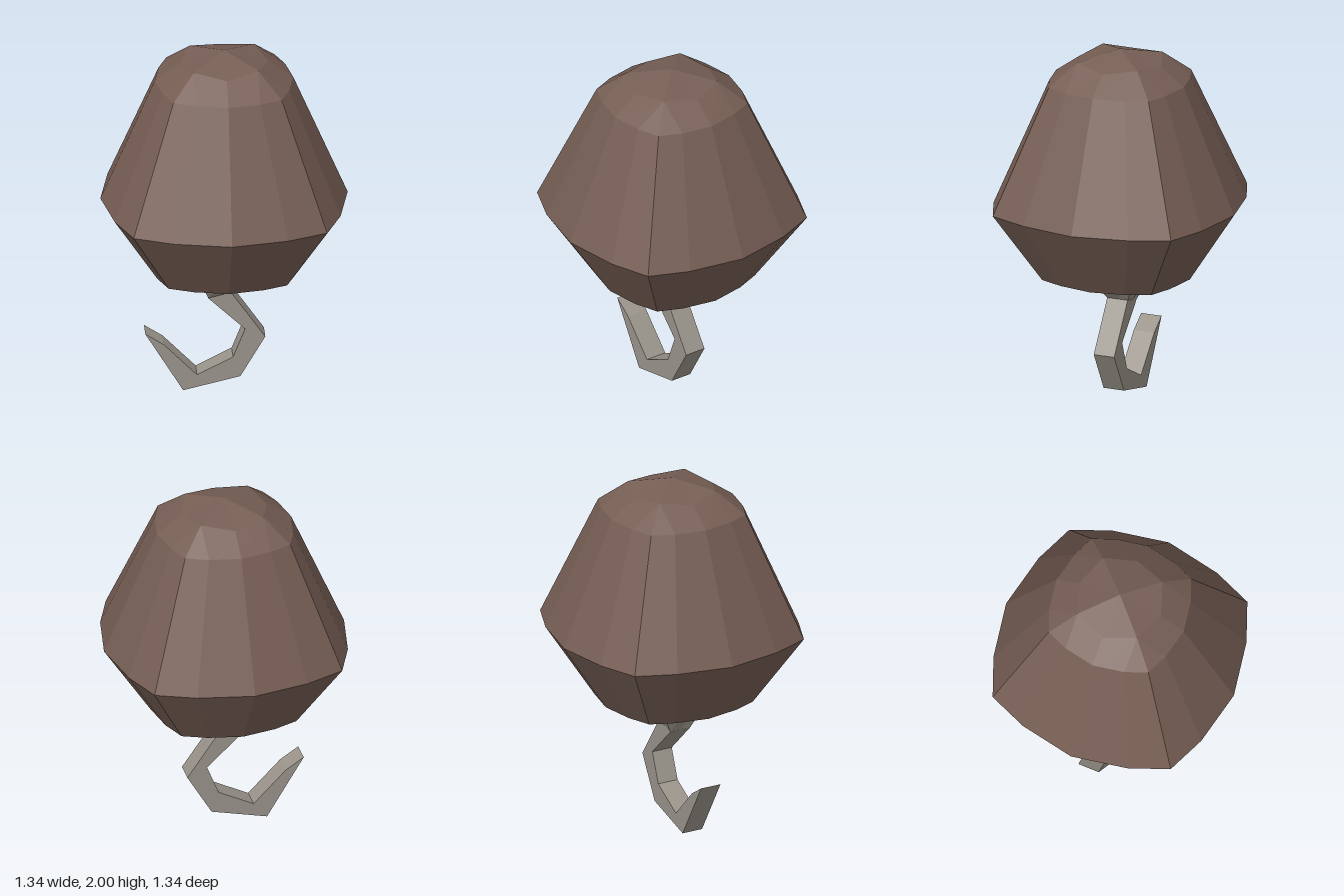
import * as THREE from 'three';

const shellBrown = new THREE.MeshStandardMaterial({ color: 0x765e54 });
shellBrown.name = 'shellBrown';
const hookGrey = new THREE.MeshStandardMaterial({ color: 0x99938a });
hookGrey.name = 'hookGrey';

// Rounded-square ring of 16 points, counter-clockwise seen from above
function ring(r, y) {
  const quarter = [[1, 0], [0.913, 0.46], [0.782, 0.782], [0.46, 0.913]];
  const pts = [];
  for (let q = 0; q < 4; q++) {
    for (const [a, b] of quarter) {
      const c = Math.round(Math.cos(q * Math.PI / 2));
      const s = Math.round(Math.sin(q * Math.PI / 2));
      pts.push(new THREE.Vector3(r * (a * c - b * s), y, -r * (a * s + b * c)));
    }
  }
  return pts;
}

// Eight-point ring (mids and corners); corners repeat so it joins a 16-point ring
function octagon(mid, corner, midY, cornerY) {
  const pts = [];
  for (let i = 0; i < 16; i++) {
    const isMid = i % 4 === 0;
    const angle = Math.floor(i / 4) * Math.PI / 2 + (isMid ? 0 : Math.PI / 4);
    const r = isMid ? mid : corner * Math.SQRT2;
    pts.push(new THREE.Vector3(r * Math.cos(angle), isMid ? midY : cornerY, -r * Math.sin(angle)));
  }
  return pts;
}

const point = (x, y, z) => Array.from({ length: 16 }, () => new THREE.Vector3(x, y, z));

// Flat-faceted skin through successive rings
function loft(rings, material, name) {
  const pos = [];
  const tri = (a, b, c) => {
    if (new THREE.Triangle(a, b, c).getArea() > 1e-7) {
      for (const p of [a, b, c]) pos.push(p.x, p.y, p.z);
    }
  };
  for (let k = 0; k < rings.length - 1; k++) {
    const a = rings[k], b = rings[k + 1];
    for (let i = 0; i < 16; i++) {
      const j = (i + 1) % 16;
      tri(a[i], a[j], b[j]);
      tri(a[i], b[j], b[i]);
    }
  }
  const geo = new THREE.BufferGeometry();
  geo.setAttribute('position', new THREE.Float32BufferAttribute(pos, 3));
  geo.computeVertexNormals();
  const mesh = new THREE.Mesh(geo, material);
  mesh.name = name;
  return mesh;
}

export function createModel() {
  const group = new THREE.Group();
  group.name = 'hookAttachment';

  // Shell: recessed underside, flared waist, tapered shoulder and low cap
  group.add(loft([
    octagon(0.24, 0.175, 0.78, 0.78),
    ring(0.31, 0.78),
    ring(0.41, 0.735),
    ring(0.67, 1.135),
    ring(0.375, 1.828),
    octagon(0.24, 0.175, 1.925, 1.95),
    point(0, 2, 0),
  ], shellBrown, 'shell'));

  // Socket: octagonal top narrowing to the tilted square root of the hook
  const cx = -0.027, cy = 0.565;
  const root = octagon(1, 1, 0, 0).map((p) => {
    const dx = p.x * 0.0625;
    return new THREE.Vector3(cx + dx, cy + dx * 0.24, p.z * 0.06);
  });
  group.add(loft([point(cx, cy, 0), root, octagon(0.24, 0.175, 0.78, 0.78)], hookGrey, 'socket'));

  // Hook: flat angular bar
  const outline = [
    [-0.09, 0.55], [-0.225, 0.005], [0.085, 0.08], [0.22, 0.312], [0.035, 0.58],
  ];
  const inner = [[0.11, 0.36], [0.045, 0.195], [-0.15, 0.095], [-0.33, 0.28], [-0.43, 0.345]];
  const path = [outline[0], ...inner, ...outline.slice(1)];
  const shape = new THREE.Shape(path.map(([x, y]) => new THREE.Vector2(x, y)));
  const hookGeo = new THREE.ExtrudeGeometry(shape, { depth: 0.12, bevelEnabled: false });
  hookGeo.translate(0, 0, -0.06);
  const hook = new THREE.Mesh(hookGeo, hookGrey);
  hook.name = 'hook';
  group.add(hook);

  return group;
}
